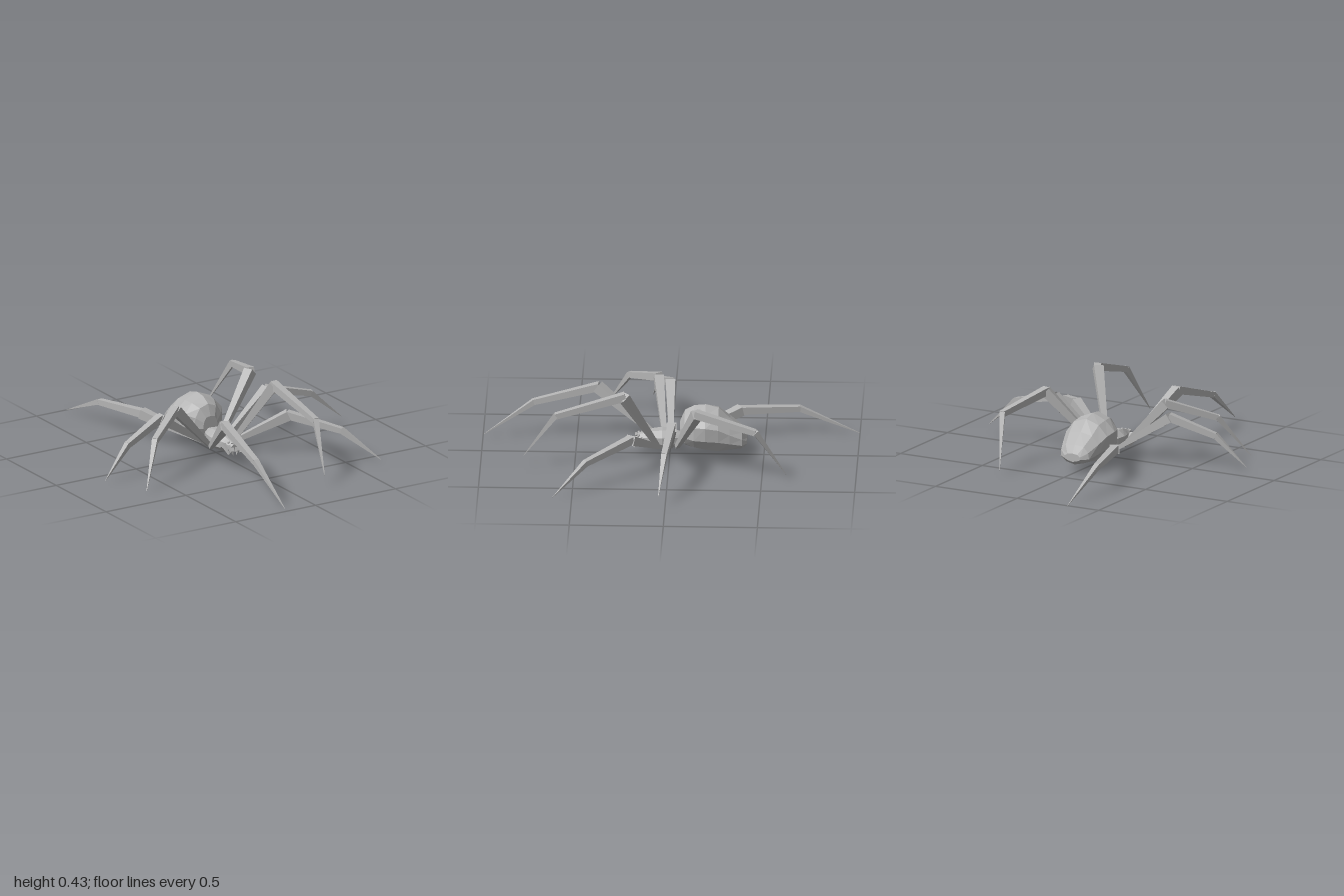
import * as THREE from 'three';

const skin = new THREE.MeshStandardMaterial({ color: 0xb4b4b4, flatShading: true });
skin.name = 'grey shell';

const V = (a) => new THREE.Vector3(...a);

function add(parent, name, geometry) {
  const mesh = new THREE.Mesh(geometry, skin);
  mesh.name = name;
  parent.add(mesh);
  return mesh;
}

// Closed skin through rings given back to front as [z, halfWidth, yBottom, yTop]
function loft(rings, sides, rough = 0) {
  const pos = [], idx = [];
  rings.forEach(([z, w, y0, y1], i) => {
    for (let j = 0; j < sides; j++) {
      const a = ((j + 0.5) / sides) * Math.PI * 2;
      const k = 1 + rough * Math.sin(i * 5.3 + j * 2.9);
      pos.push(w * k * Math.cos(a), (y0 + y1) / 2 + ((y1 - y0) / 2) * k * Math.sin(a), z);
    }
  });
  const n = rings.length;
  for (let i = 0; i < n - 1; i++) {
    for (let j = 0; j < sides; j++) {
      const a = i * sides + j, b = i * sides + ((j + 1) % sides);
      idx.push(a, b, a + sides, b, b + sides, a + sides);
    }
  }
  const last = (n - 1) * sides;
  for (let j = 1; j < sides - 1; j++) {
    idx.push(0, j + 1, j, last, last + j, last + j + 1);
  }
  const g = new THREE.BufferGeometry();
  g.setAttribute('position', new THREE.Float32BufferAttribute(pos, 3));
  g.setIndex(idx);
  g.computeVertexNormals();
  return g;
}

// Tapered square bar between two points, w0 and w1 being its widths
function bar(p, q, w0, w1) {
  const dir = q.clone().sub(p), len = dir.length();
  dir.normalize();
  const side = new THREE.Vector3(0, 1, 0).cross(dir).normalize();
  const g = new THREE.CylinderGeometry(w1 * Math.SQRT1_2, w0 * Math.SQRT1_2, len, 4, 1, false, Math.PI / 4);
  const m = new THREE.Matrix4().makeBasis(side, dir, side.clone().cross(dir));
  m.setPosition(p.clone().add(q).multiplyScalar(0.5));
  return g.applyMatrix4(m);
}

// Each leg: hip, knee, ankle, tip
const LEGS = {
  leftFrontLeg: [[0.06, 0.07, 0.06], [0.215, 0.42, 0.24], [0.25, 0.32, 0.6], [0.2, 0.07, 0.77]],
  leftSecondLeg: [[0.06, 0.07, 0.05], [0.33, 0.22, 0.2], [0.52, 0.165, 0.43], [0.66, 0.025, 0.6]],
  leftThirdLeg: [[0.055, 0.07, -0.005], [0.335, 0.3, -0.02], [0.585, 0.24, 0.01], [0.765, 0.08, 0.035]],
  leftBackLeg: [[0.05, 0.07, -0.04], [0.31, 0.365, -0.155], [0.395, 0.3, -0.47], [0.32, 0.03, -0.63]],
  rightFrontLeg: [[-0.07, 0.07, 0.06], [-0.185, 0.31, 0.39], [-0.205, 0.21, 0.73], [-0.19, 0.025, 0.995]],
  rightSecondLeg: [[-0.06, 0.07, 0.03], [-0.3, 0.325, 0.07], [-0.525, 0.24, 0.23], [-0.655, 0.02, 0.355]],
  rightThirdLeg: [[-0.055, 0.07, -0.005], [-0.36, 0.27, 0.01], [-0.6, 0.185, 0.075], [-0.765, 0.025, 0.115]],
  rightBackLeg: [[-0.05, 0.07, -0.04], [-0.235, 0.165, -0.37], [-0.305, 0.15, -0.68], [-0.31, 0.01, -1]],
};

export function createModel() {
  const spider = new THREE.Group();
  spider.name = 'spider';

  // Round, flat-bottomed abdomen
  add(spider, 'abdomen', loft([
    [-0.41, 0.05, 0.075, 0.12], [-0.385, 0.09, 0.055, 0.165], [-0.32, 0.115, 0.05, 0.22],
    [-0.26, 0.13, 0.04, 0.275], [-0.19, 0.135, 0.045, 0.29], [-0.13, 0.12, 0.05, 0.285],
    [-0.08, 0.085, 0.065, 0.26], [-0.055, 0.045, 0.1, 0.2],
  ], 10, 0.04));

  // Fused head and chest, with a narrow waist behind
  add(spider, 'thorax', loft([
    [-0.1, 0.02, 0.085, 0.13], [-0.06, 0.035, 0.065, 0.135], [-0.01, 0.058, 0.048, 0.15],
    [0.04, 0.068, 0.043, 0.155], [0.09, 0.055, 0.046, 0.148], [0.13, 0.038, 0.055, 0.135],
    [0.165, 0.032, 0.06, 0.125], [0.185, 0.02, 0.07, 0.11],
  ], 8, 0.02));

  // Fangs, feelers and eyes, mirrored
  for (const s of [1, -1]) {
    const side = s > 0 ? 'left' : 'right';
    add(spider, side + 'Jaw', bar(V([s * 0.014, 0.1, 0.165]), V([s * 0.016, 0.07, 0.19]), 0.024, 0.02));
    add(spider, side + 'Fang', bar(V([s * 0.016, 0.075, 0.188]), V([s * 0.01, 0.05, 0.192]), 0.014, 0.002));
    add(spider, side + 'FeelerArm', bar(V([s * 0.035, 0.075, 0.09]), V([s * 0.045, 0.105, 0.15]), 0.014, 0.02));
    add(spider, side + 'FeelerTip', bar(V([s * 0.045, 0.108, 0.145]), V([s * 0.036, 0.06, 0.19]), 0.02, 0.008));
    [[0.01, 0.118, 0.178], [0.024, 0.12, 0.165]].forEach(([x, y, z]) => {
      add(spider, side + 'Eye', new THREE.IcosahedronGeometry(0.008, 0)).position.set(s * x, y, z);
    });
  }

  // Legs: thigh widening to the knee, slimmer shin, pointed foot
  for (const [name, points] of Object.entries(LEGS)) {
    const leg = new THREE.Group();
    leg.name = name;
    const [hip, knee, ankle, tip] = points.map(V);
    add(leg, 'thigh', bar(hip, knee, 0.022, 0.052));
    add(leg, 'shin', bar(knee.clone().lerp(ankle, -0.03), ankle, 0.042, 0.03));
    add(leg, 'foot', bar(ankle.clone().lerp(tip, -0.02), tip, 0.03, 0.002));
    spider.add(leg);
  }
  return spider;
}
